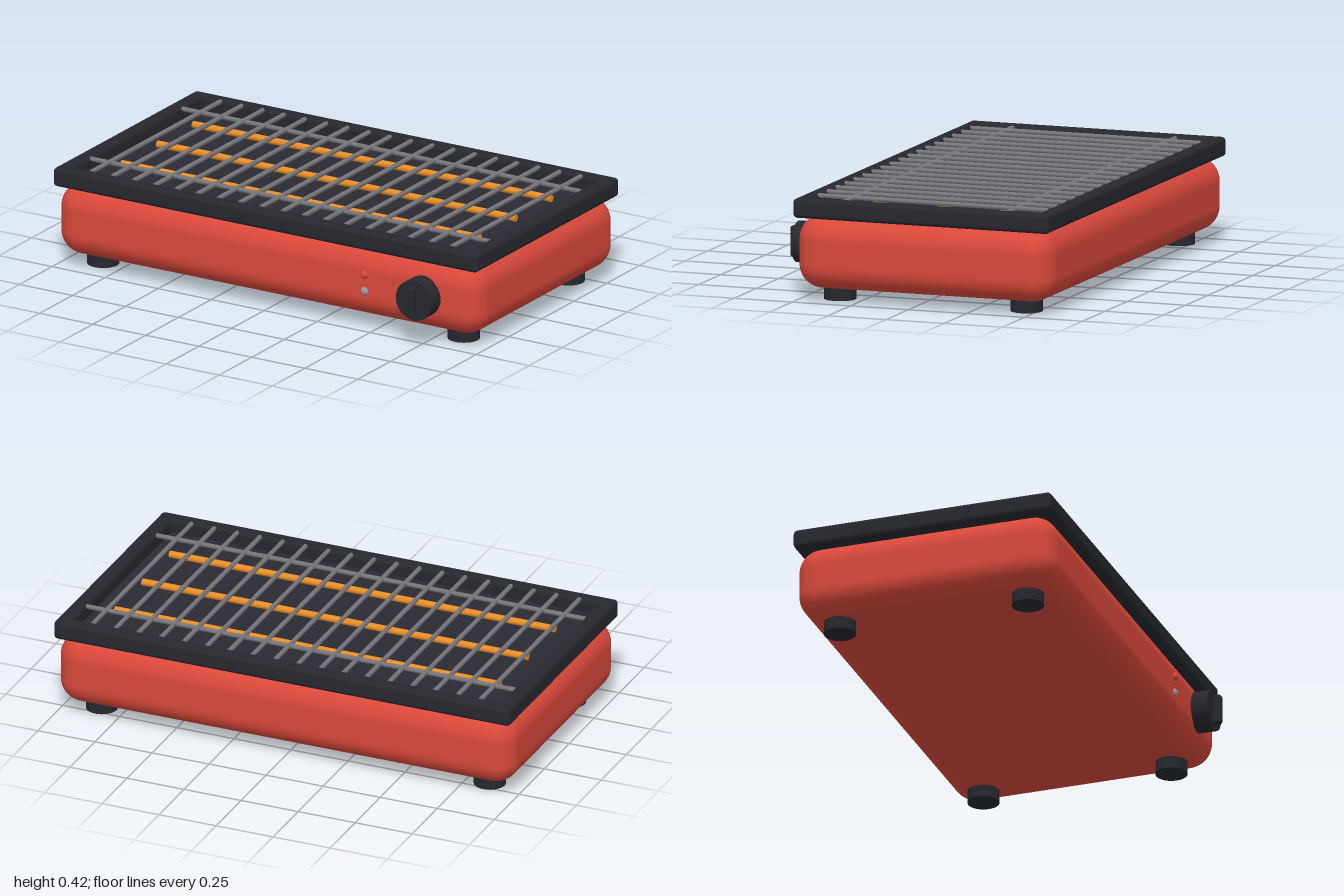
import * as THREE from 'three';
import { RoundedBoxGeometry } from 'three/addons/geometries/RoundedBoxGeometry.js';

const material = (name, color) => {
  const m = new THREE.MeshStandardMaterial({ color });
  m.name = name;
  return m;
};

export function createModel() {
  const red = material('red enamel', 0xd9483b);
  const dark = material('dark plastic', 0x26282e);
  const trayDark = material('dark tray', 0x2a2b33);
  const steel = material('steel wire', 0x75757a);
  const orange = material('glowing orange', 0xf0922a);
  const grey = material('grey lamp', 0x95999a);

  const model = new THREE.Group();
  model.name = 'tableGrill';
  const CZ = -0.05; // body centre, set back to leave room for the knob

  const add = (name, geometry, mat, x, y, z, parent = model) => {
    const mesh = new THREE.Mesh(geometry, mat);
    mesh.name = name;
    mesh.position.set(x, y, z);
    parent.add(mesh);
    return mesh;
  };
  const group = (name) => {
    const g = new THREE.Group();
    g.name = name;
    model.add(g);
    return g;
  };

  // Housing with soft edges
  add('body', new RoundedBoxGeometry(2, 0.3, 1.1, 8, 0.1), red, 0, 0.2, CZ);

  // Feet
  const footGeometry = new THREE.CylinderGeometry(0.065, 0.065, 0.07, 32);
  for (const x of [-0.85, 0.85])
    for (const z of [-0.401, 0.401]) add('foot', footGeometry, dark, x, 0.035, CZ + z);

  // Tray: floor and raised rim
  add('trayFloor', new THREE.BoxGeometry(1.92, 0.016, 1.02), trayDark, 0, 0.354, CZ);
  const rim = group('rim');
  const longRail = new RoundedBoxGeometry(2, 0.079, 0.062, 4, 0.018);
  const sideRail = new RoundedBoxGeometry(0.064, 0.079, 1.1, 4, 0.018);
  for (const s of [-1, 1]) {
    add('longRail', longRail, dark, 0, 0.3815, CZ + s * 0.519, rim);
    add('sideRail', sideRail, dark, s * 0.968, 0.3815, CZ, rim);
  }

  // Heating rods
  const rods = group('heatingRods');
  const rodGeometry = new THREE.CylinderGeometry(0.0145, 0.0145, 1.69, 16).rotateZ(Math.PI / 2);
  for (let i = -1; i <= 1; i++)
    add('heatingRod', rodGeometry, orange, 0, 0.383, -0.056 + i * 0.274, rods);

  // Wire grate: bars front to back, resting on two cross wires
  const grate = group('grate');
  const barGeometry = new THREE.CylinderGeometry(0.01, 0.01, 0.99, 10).rotateX(Math.PI / 2);
  for (let i = 0; i < 18; i++)
    add('grateBar', barGeometry, steel, -0.85 + i * 0.1, 0.414, CZ, grate);
  const crossGeometry = new THREE.CylinderGeometry(0.01, 0.01, 1.88, 10).rotateZ(Math.PI / 2);
  for (const s of [-1, 1])
    add('crossWire', crossGeometry, steel, 0, 0.41, CZ + s * 0.35, grate);

  // Control knob with grip
  const knob = group('knob');
  knob.position.set(0.748, 0.203, 0);
  const dial = new THREE.CylinderGeometry(0.084, 0.084, 0.08, 40).rotateX(Math.PI / 2);
  add('dial', dial, dark, 0, 0, 0.53, knob);
  add('grip', new RoundedBoxGeometry(0.03, 0.126, 0.05, 3, 0.009), dark, 0, 0, 0.577, knob);

  // Indicator lamps
  const lamp = new THREE.SphereGeometry(0.018, 20, 14);
  add('powerLamp', lamp, red, 0.474, 0.242, 0.495);
  add('readyLamp', lamp, grey, 0.474, 0.172, 0.495);

  return model;
}
